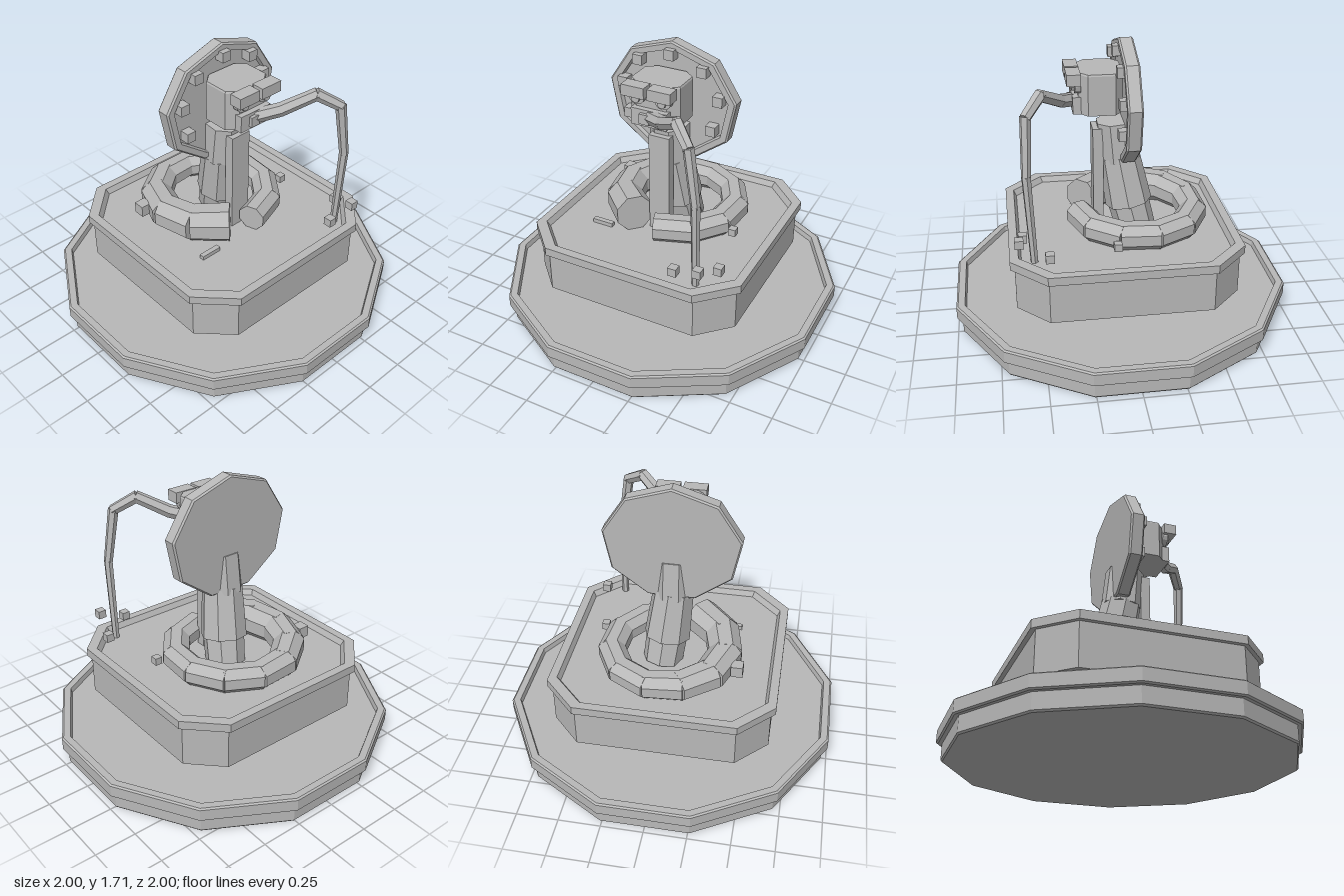
import * as THREE from 'three';

const stone = new THREE.MeshStandardMaterial({ color: 0xb8b8b8 });
stone.name = 'stone grey';

// Faceted normals for any geometry
function flat(geometry) {
  const g = geometry.index ? geometry.toNonIndexed() : geometry;
  g.computeVertexNormals();
  return g;
}

// Stacks scaled copies of an outline: rings are [scale, height] from the bottom centre to the top centre
function loft(outline, rings) {
  const pos = [];
  const at = (i, k) => {
    const [x, z] = outline[i % outline.length];
    return [x * rings[k][0], rings[k][1], z * rings[k][0]];
  };
  for (let k = 0; k < rings.length - 1; k++) {
    for (let i = 0; i < outline.length; i++) {
      const a = at(i, k), b = at(i + 1, k), c = at(i + 1, k + 1), d = at(i, k + 1);
      if (rings[k][0] > 0) pos.push(...a, ...b, ...c);
      if (rings[k + 1][0] > 0) pos.push(...a, ...c, ...d);
    }
  }
  const g = new THREE.BufferGeometry();
  g.setAttribute('position', new THREE.Float32BufferAttribute(pos, 3));
  return flat(g);
}

function polygon(sides, rx, rz, start) {
  return Array.from({ length: sides }, (_, i) => {
    const a = start + (i / sides) * Math.PI * 2;
    return [Math.sin(a) * rx, Math.cos(a) * rz];
  });
}

// Square with cut corners
function cutSquare(h, c) {
  const k = h - c;
  return [[-k, h], [k, h], [h, k], [h, -k], [k, -h], [-k, -h], [-h, -k], [-h, k]];
}

export function createModel() {
  const model = new THREE.Group();
  model.name = 'coiledSerpentOnPlinth';

  function add(name, geometry, x = 0, y = 0, z = 0) {
    const mesh = new THREE.Mesh(geometry, stone);
    mesh.name = name;
    mesh.position.set(x, y, z);
    model.add(mesh);
    return mesh;
  }
  const box = (name, w, h, d, x, y, z) => add(name, new THREE.BoxGeometry(w, h, d), x, y, z);

  // Faceted rod running from a to b
  function rod(name, a, b, r0, r1, sides = 8, overlap = 0) {
    const p = new THREE.Vector3(...a), q = new THREE.Vector3(...b);
    const g = new THREE.CylinderGeometry(r1, r0, p.distanceTo(q) + overlap, sides, 1, false, Math.PI / sides);
    g.rotateX(Math.PI / 2);
    const mesh = add(name, flat(g));
    mesh.position.copy(p).lerp(q, 0.5);
    mesh.lookAt(q);
    return mesh;
  }

  // Twelve-sided base with a sunken top
  const dozen = polygon(12, 1.035, 1.035, Math.PI / 12);
  add('baseFoot', loft(dozen, [[0, 0], [0.96, 0], [0.968, 0.01], [0.968, 0.1], [0, 0.1]]));
  add('baseTray', loft(dozen, [
    [0, 0.1], [0.99, 0.1], [1, 0.108], [1, 0.178], [0.99, 0.186],
    [0.95, 0.186], [0.942, 0.155], [0, 0.155],
  ]));

  // Pedestal, plinth box and its rim
  add('pedestal', loft(cutSquare(0.27, 0.07), [[0, 0.15], [1, 0.15], [1, 0.29], [0, 0.29]]));
  add('plinthBox', loft(cutSquare(0.645, 0.18), [[0, 0.282], [1, 0.282], [1, 0.54], [0, 0.54]]));
  add('plinthRim', loft(cutSquare(0.672, 0.2), [
    [0, 0.536], [1, 0.536], [1, 0.587], [0.925, 0.587], [0.9, 0.552], [0, 0.552],
  ]));

  // Coiled body resting on the plinth, thick at the left front and tapering round to the right
  const count = 10;
  const coilPoint = (i) => {
    const a = THREE.MathUtils.degToRad(333 - i * 33);
    const r = 0.118 - 0.034 * Math.min(1, i / 5);
    return { r, p: [0.01 + Math.sin(a) * 0.345, 0.55 + r * 0.92, -0.11 + Math.cos(a) * 0.345] };
  };
  for (let i = 0; i < count; i++) {
    const a = coilPoint(i), b = coilPoint(i + 1);
    rod('coilSegment', a.p, b.p, a.r, b.r, 8, 0.035);
  }

  // Neck rising out of the coil, with a flat belly plate in front
  rod('neckRoot', [0.05, 0.54, -0.1], [0.03, 0.72, -0.055], 0.12, 0.125);
  rod('lowerNeck', [0.03, 0.7, -0.06], [0, 1.0, -0.005], 0.14, 0.122);
  rod('upperNeck', [0, 0.98, -0.008], [0, 1.22, 0.015], 0.124, 0.118);
  box('bellyPlate', 0.13, 0.63, 0.06, 0, 0.87, 0.125);

  // Nine-sided hood with a sunken front and studs
  const hood = loft(polygon(9, 0.406, 0.363, Math.PI), [
    [0, -0.086], [0.975, -0.086], [1, -0.076], [1, -0.01], [0.975, 0],
    [0.88, 0], [0.86, -0.025], [0, -0.025],
  ]);
  hood.rotateX(Math.PI / 2);
  add('hood', hood, 0, 1.342, 0);
  box('hoodStud', 0.06, 0.06, 0.06, 0, 1.635, 0.005);
  for (const s of [-1, 1]) {
    for (const [x, y] of [[0.2, 1.57], [0.3, 1.415], [0.262, 1.225]]) {
      box('hoodStud', 0.06, 0.06, 0.06, s * x, y, 0.005);
    }
  }

  // Head, mouth, brows and eyes
  const head = loft(cutSquare(0.153, 0.06), [[0, 1.3], [1, 1.3], [1, 1.53], [0.97, 1.54], [0, 1.54]]);
  head.scale(1, 1, 0.83);
  add('head', head, 0, 0, 0.11);
  box('mouth', 0.22, 0.1, 0.07, 0, 1.35, 0.235);
  for (const s of [-1, 1]) {
    box('brow', 0.14, 0.065, 0.08, s * 0.08, 1.512, 0.265);
    const eye = new THREE.CylinderGeometry(0.05, 0.05, 0.035, 12);
    eye.rotateX(Math.PI / 2);
    add('eye', flat(eye), s * 0.08, 1.468, 0.24);
    const pupil = new THREE.CylinderGeometry(0.025, 0.025, 0.02, 8);
    pupil.rotateX(Math.PI / 2);
    add('pupil', flat(pupil), s * 0.08, 1.458, 0.265);
  }

  // Long jointed tongue reaching down to the plinth
  const tongue = [
    [-0.01, 1.35, 0.24], [0.12, 1.39, 0.34], [0.27, 1.48, 0.46],
    [0.38, 1.4, 0.545], [0.43, 1.075, 0.557], [0.426, 0.56, 0.533],
  ];
  const widths = [0.042, 0.04, 0.036, 0.032, 0.027, 0.022];
  for (let i = 0; i < tongue.length - 1; i++) {
    rod('tongueSegment', tongue[i], tongue[i + 1], widths[i], widths[i + 1], 6, 0.015);
  }
  box('tongueRoot', 0.06, 0.06, 0.05, -0.02, 1.35, 0.265);

  // Small blocks about the tongue tip and coil
  for (const [x, y, z] of [[0.478, 0.705, 0.615], [0.528, 0.63, 0.45], [0.32, 0.65, 0.592]]) {
    box('tipBlock', 0.05, 0.05, 0.05, x, y, z);
  }
  box('coilBlock', 0.07, 0.07, 0.07, -0.42, 0.65, -0.25);
  box('coilBlock', 0.045, 0.045, 0.045, 0.44, 0.62, 0.06);
  box('tailBar', 0.13, 0.025, 0.03, -0.33, 0.565, 0.255);

  return model;
}
